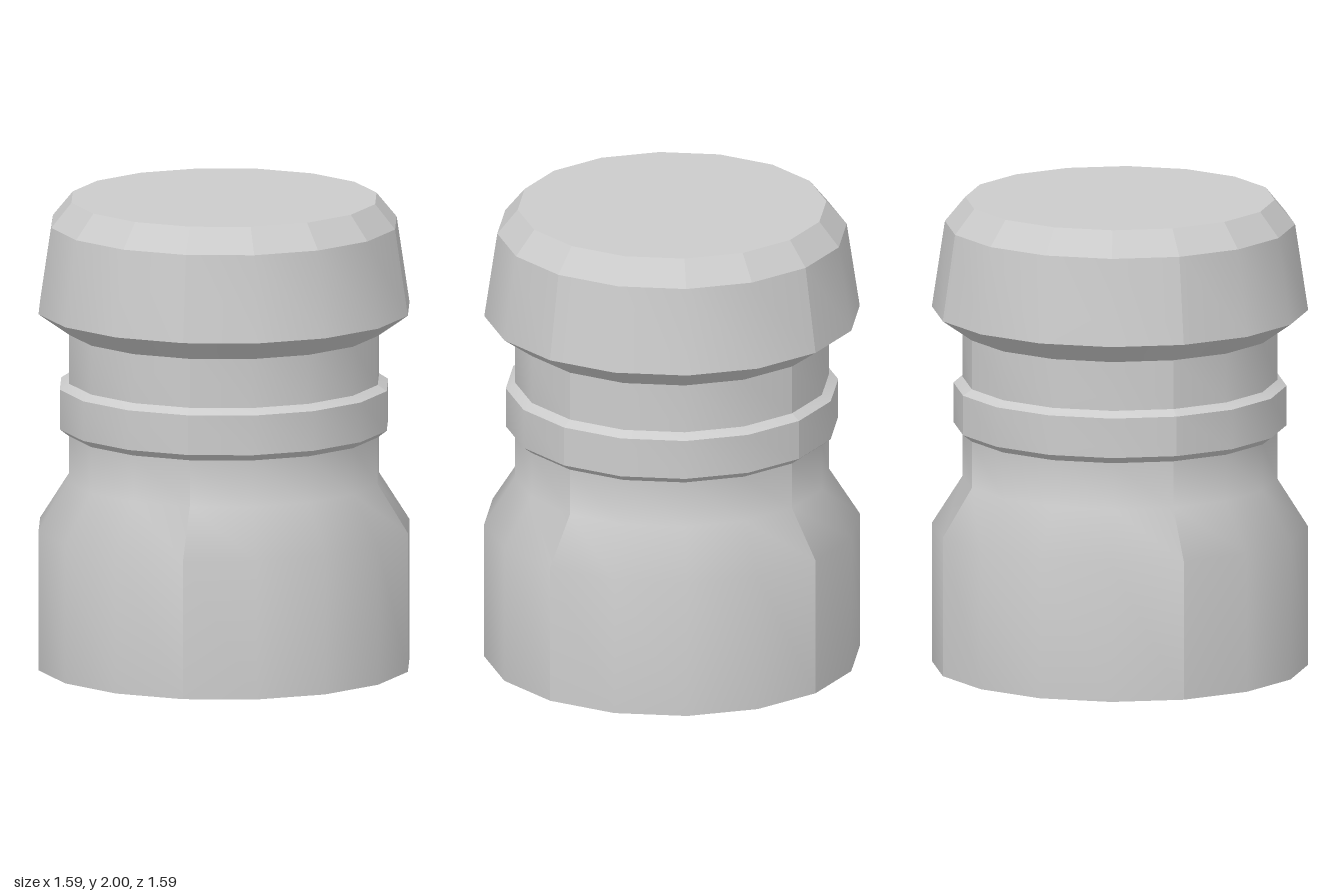
import * as THREE from 'three';

const SIDES = 16;
const OFFSET = Math.PI / 4;

export function createModel() {
  const model = new THREE.Group();
  const smooth = new THREE.MeshStandardMaterial({ color: 0xcccccc });
  const flat = new THREE.MeshStandardMaterial({ color: 0xcccccc, flatShading: true });

  // One turned band, made of four quarters that are each smooth within themselves
  function band(name, profile, material = smooth) {
    const group = new THREE.Group();
    group.name = name;
    const points = profile.map(([r, y]) => new THREE.Vector2(r, y));
    for (let q = 0; q < 4; q++) {
      const geo = new THREE.LatheGeometry(points, SIDES / 4, OFFSET + q * Math.PI / 2, Math.PI / 2);
      geo.computeVertexNormals();
      const quarter = new THREE.Mesh(geo, material);
      quarter.name = name + 'Quarter';
      group.add(quarter);
    }
    model.add(group);
  }

  // Flat end disc, facing up or down
  function disc(name, radius, y, up) {
    const mesh = new THREE.Mesh(new THREE.CircleGeometry(radius, SIDES), flat);
    mesh.name = name;
    mesh.rotation.x = up ? -Math.PI / 2 : Math.PI / 2;
    mesh.position.y = y;
    model.add(mesh);
  }

  // Base and tapered shoulder
  disc('bottom', 0.793, 0, false);
  band('base', [[0.793, 0], [0.793, 0.595], [0.663, 0.8], [0.663, 1]]);

  // Raised collar with bevelled edges
  band('collarLowerBevel', [[0.663, 1], [0.702, 1.03]]);
  band('collar', [[0.702, 1.03], [0.702, 1.2]]);
  band('collarUpperBevel', [[0.702, 1.2], [0.663, 1.225]]);

  // Neck
  band('neck', [[0.663, 1.225], [0.663, 1.435]]);

  // Flared cap with a faceted bevel round the top
  band('capUnderside', [[0.663, 1.435], [0.793, 1.527]]);
  band('cap', [[0.793, 1.527], [0.738, 1.895]]);
  band('capBevel', [[0.738, 1.895], [0.652, 2]], flat);
  disc('top', 0.652, 2, true);

  return model;
}
